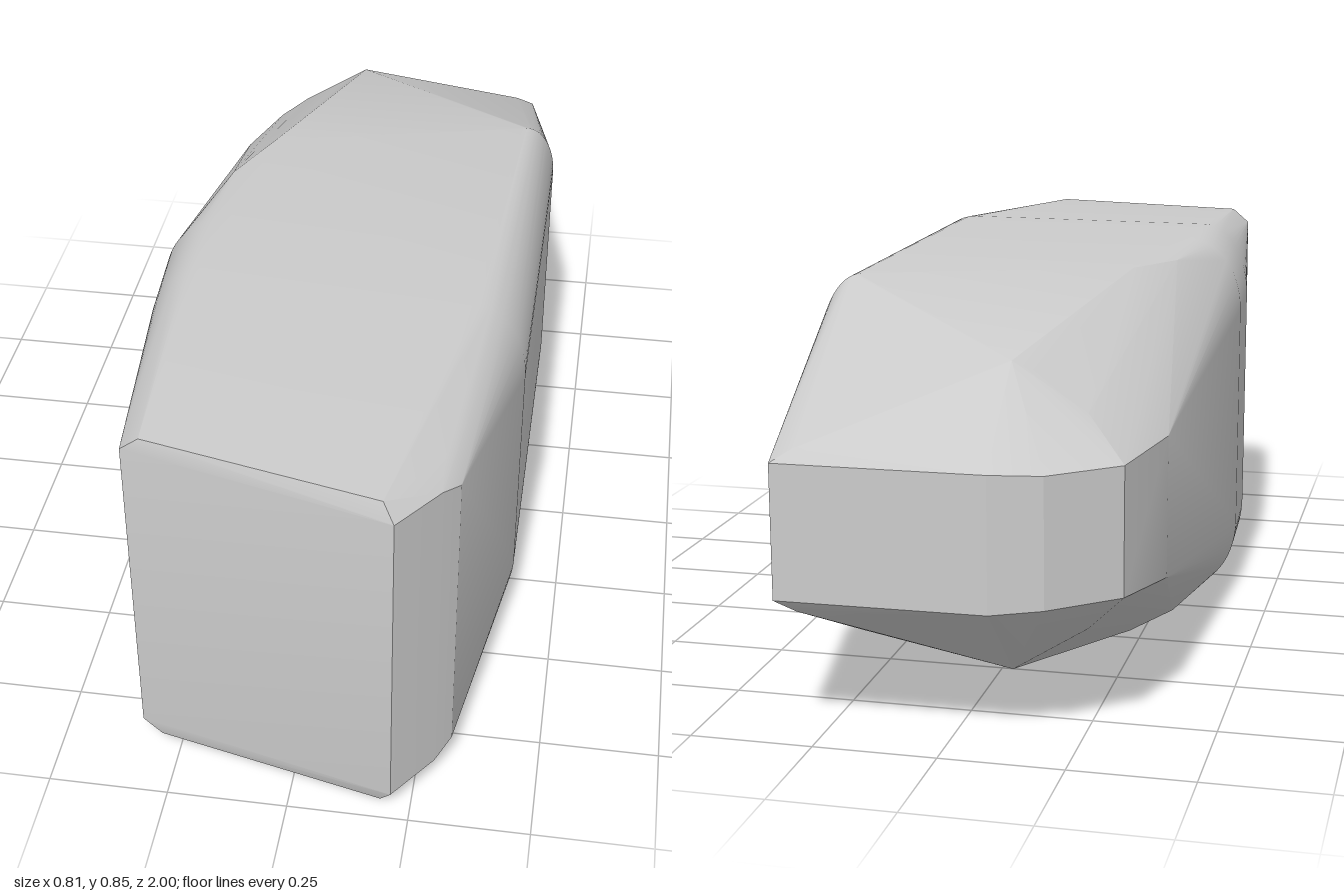
import * as THREE from 'three';
import { ConvexGeometry } from 'three/addons/geometries/ConvexGeometry.js';
import { toCreasedNormals } from 'three/addons/utils/BufferGeometryUtils.js';

const MID = 0.425; // height of the horizontal mirror plane

export function createModel() {
  const points = [];
  // A corner above the mid plane and its twin below it
  const pair = (x, y, z) => {
    points.push(new THREE.Vector3(x, y, z), new THREE.Vector3(x, 2 * MID - y, z));
  };
  // Elliptical rounded edge, from the side (angle 0) to the top
  const arc = (cx, cy, rx, ry, z0, z1 = z0, steps = 14) => {
    for (let i = 0; i <= steps; i++) {
      const a = (i / steps) * Math.PI / 2;
      pair(cx + rx * Math.cos(a), cy + ry * Math.sin(a), z0 + (z1 - z0) * i / steps);
    }
  };

  // Slanted front face with its chamfers
  [
    [-0.33, 0.79, 0.86], [-0.29, 0.823, 0.865],
    [0.19, 0.823, 0.975], [0.213, 0.785, 0.995],
    [0.285, 0.8, 0.81], [0.29, 0.785, 0.89], [0.32, 0.765, 0.84],
  ].forEach((p) => pair(...p));

  // Rounded middle of the body
  arc(0.29, 0.68, 0.115, 0.17, 0.37);
  arc(0.33, 0.68, 0.075, 0.145, -0.46, -0.4);
  arc(-0.29, 0.68, -0.107, 0.17, 0.35);
  arc(-0.29, 0.68, -0.12, 0.163, 0.14);
  pair(-0.3, 0.83, -0.1);
  pair(-0.23, 0.833, -0.25);

  // Tapered back with one softened side
  [
    [-0.1, 0.735, -0.8], [-0.15, 0.71, -0.78], [-0.25, 0.64, -0.8],
    [0.13, 0.665, -0.82], [0.28, 0.585, -0.98],
    [0.32, 0.56, -1], [-0.1, 0.56, -0.995], [-0.2, 0.555, -0.96],
    [-0.33, 0.555, -0.85], [-0.38, 0.57, -0.66],
  ].forEach((p) => pair(...p));

  const body = new THREE.Mesh(
    toCreasedNormals(new ConvexGeometry(points), 0.3),
    new THREE.MeshStandardMaterial({ color: 0xcccccc })
  );
  body.name = 'facetedBody';

  const model = new THREE.Group();
  model.name = 'facetedBlock';
  model.add(body);
  return model;
}
